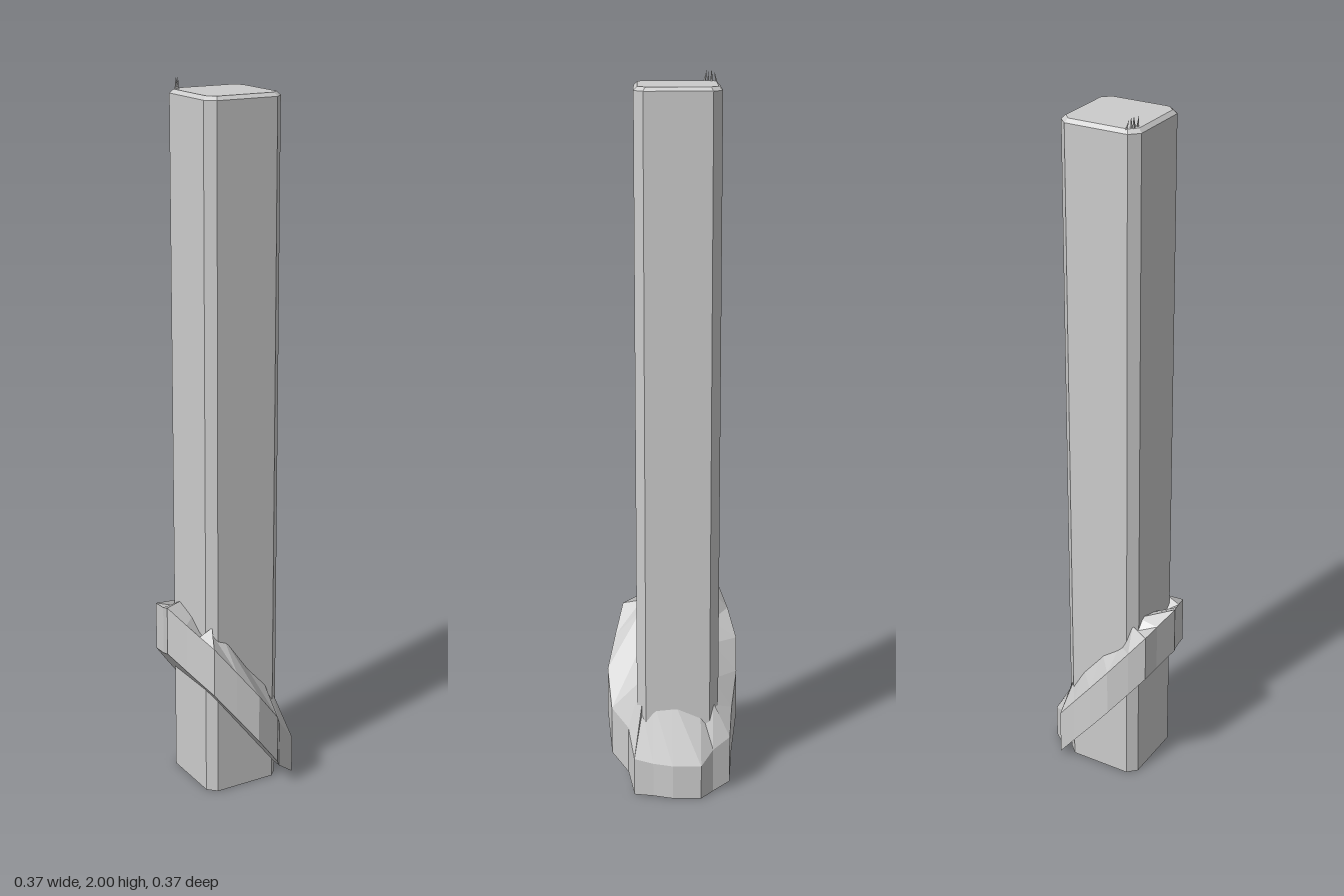
import * as THREE from 'three';

const stone = new THREE.MeshStandardMaterial({ color: 0xcccccc, flatShading: true });
stone.name = 'pale grey';

// Joins equal-length loops of points into a faceted surface
function loft(loops, closed, caps) {
  const pos = [];
  const tri = (a, b, c) => pos.push(...a, ...b, ...c);
  const n = loops[0].length;
  const last = closed ? loops.length : loops.length - 1;
  for (let i = 0; i < last; i++) {
    const p = loops[i], q = loops[(i + 1) % loops.length];
    for (let k = 0; k < n; k++) {
      const m = (k + 1) % n;
      tri(p[k], p[m], q[m]);
      tri(p[k], q[m], q[k]);
    }
  }
  if (caps) {
    const a = loops[0], b = loops[loops.length - 1];
    for (let k = 1; k < n - 1; k++) {
      tri(a[0], a[k + 1], a[k]);
      tri(b[0], b[k], b[k + 1]);
    }
  }
  const g = new THREE.BufferGeometry();
  g.setAttribute('position', new THREE.Float32BufferAttribute(pos, 3));
  g.computeVertexNormals();
  return g;
}

// Square cross-section with cut corners, counter-clockwise from above
function octagon(y, h, cut) {
  const c = h - cut;
  return [[h, c], [h, -c], [c, -h], [-c, -h], [-h, -c], [-h, c], [-c, h], [c, h]]
    .map(([x, z]) => [x, y, z - 0.015]);
}

export function createModel() {
  const model = new THREE.Group();
  model.name = 'pillar';
  const add = (name, geometry) => {
    const mesh = new THREE.Mesh(geometry, stone);
    mesh.name = name;
    model.add(mesh);
    return mesh;
  };

  // Tall post with chamfered corners and a bevelled top
  add('post', loft([octagon(0, 0.115, 0.025), octagon(1.96, 0.115, 0.025),
    octagon(1.97, 0.105, 0.021)], false, true));

  // Tilted, rough collar: outline from above, with a small rise of the inner rim
  const outline = [
    [-0.185, -0.02, 0], [-0.163, -0.085, 0.02], [-0.157, -0.14, -0.01], [-0.115, -0.165, 0.01],
    [-0.06, -0.188, -0.02], [0, -0.186, 0.01], [0.065, -0.17, 0.01], [0.118, -0.163, -0.01],
    [0.14, -0.115, 0], [0.184, -0.08, -0.02], [0.182, 0, 0.015], [0.165, 0.055, 0.01],
    [0.155, 0.108, -0.03], [0.1, 0.125, 0], [0.065, 0.172, 0.01], [-0.005, 0.184, 0],
    [-0.065, 0.163, 0.01], [-0.125, 0.14, -0.02], [-0.14, 0.085, 0], [-0.157, 0.04, -0.04],
  ];
  const sections = outline.map(([x, z, rise]) => {
    const ix = THREE.MathUtils.clamp(x, -0.1, 0.1);
    const iz = THREE.MathUtils.clamp(z, -0.115, 0.085);
    const low = (v) => Math.max(0, 0.17 - 1.28 * v);
    const rim = Math.max(0.1, 0.31 - 1.29 * x);
    return [[x, low(x), z], [x, rim, z], [ix, 0.385 - 1.25 * ix + rise, iz], [ix, low(ix), iz]];
  });
  add('collar', loft(sections, true, false));

  // Tiny tuft of blades on the back corner of the top
  const blades = [[-0.098, -0.092, 0.2], [-0.092, -0.099, -0.15], [-0.088, -0.108, 0.1],
    [-0.083, -0.118, -0.2], [-0.094, -0.107, 0]];
  blades.forEach(([x, z, lean], i) => {
    const blade = add('blade', new THREE.ConeGeometry(0.004, 0.036, 4));
    blade.position.set(x, 1.981 - (i % 2) * 0.004, z);
    blade.rotation.set(-lean, i, lean);
  });
  return model;
}
